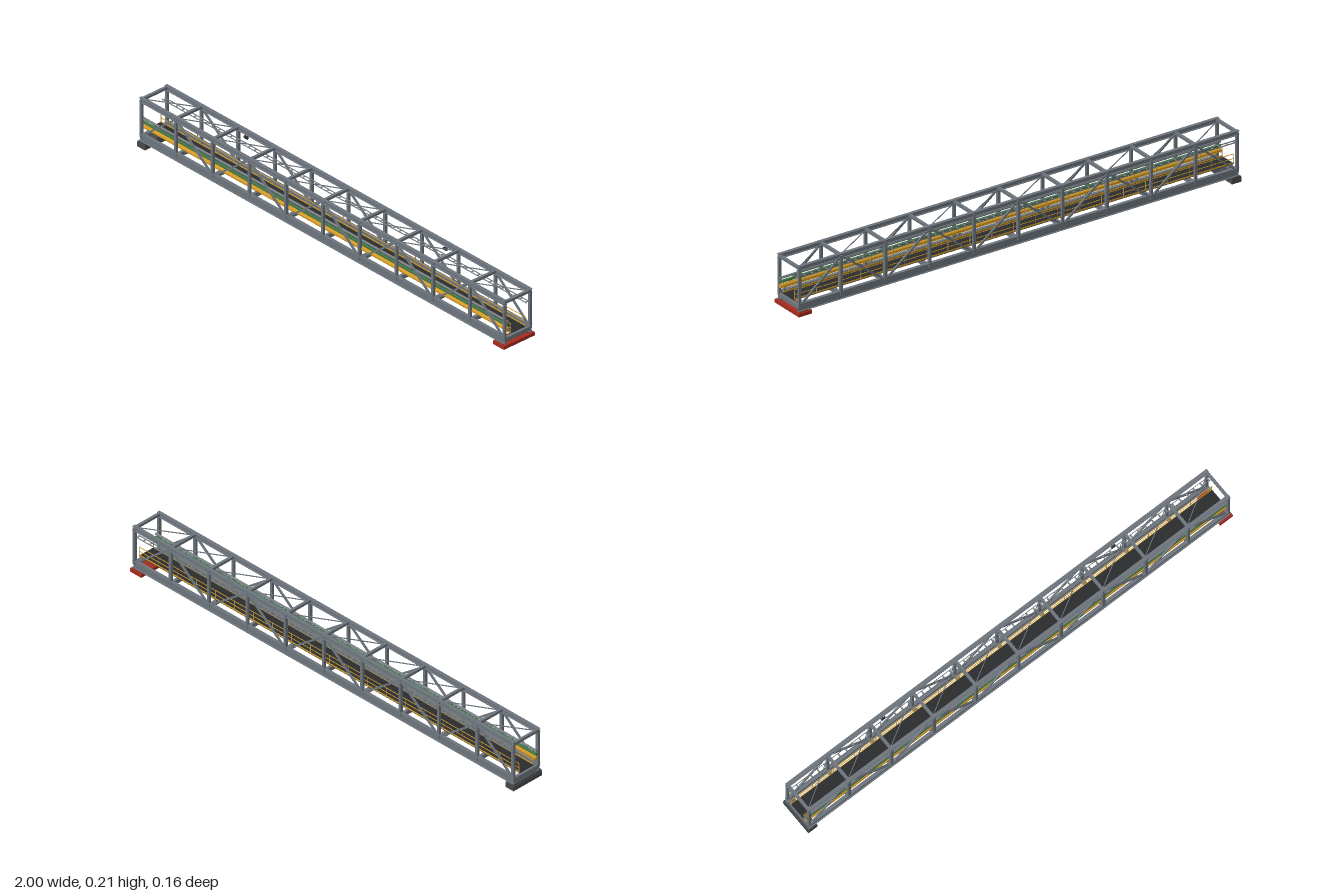
import * as THREE from 'three';

const mat = (name, color) => Object.assign(new THREE.MeshStandardMaterial({ color }), { name });

export function createModel() {
  const steel = mat('steel grey', 0x6c747c);
  const dark = mat('dark bearing', 0x45484c);
  const red = mat('red bearing', 0xa52a1e);
  const deck = mat('deck black', 0x2a2b2d);
  const yellow = mat('pipe yellow', 0xd29a26);
  const green = mat('pipe green', 0x3f7347);
  const pipeGrey = mat('pipe grey', 0x777e82);
  const tan = mat('railing tan', 0xb59a62);

  const root = new THREE.Group();
  root.name = 'trussBridge';
  const group = (name) => {
    const g = new THREE.Group();
    g.name = name;
    root.add(g);
    return g;
  };
  const box = (parent, name, m, w, h, d, x, y, z) => {
    const b = new THREE.Mesh(new THREE.BoxGeometry(w, h, d), m);
    b.name = name;
    b.position.set(x, y, z);
    parent.add(b);
    return b;
  };
  // square bar between two points
  const bar = (parent, name, m, a, b, w, d = w) => {
    const p = new THREE.Vector3(...a), q = new THREE.Vector3(...b);
    const s = box(parent, name, m, w, d, p.distanceTo(q), 0, 0, 0);
    s.position.copy(p).add(q).multiplyScalar(0.5);
    s.lookAt(q);
    return s;
  };
  // I-section running along x
  const iBeam = (parent, name, y0, y1, z, width) => {
    const t = 0.002;
    box(parent, name + 'TopFlange', steel, 1.988, t, width, 0, y1 - t / 2, z);
    box(parent, name + 'BottomFlange', steel, 1.988, t, width, 0, y0 + t / 2, z);
    box(parent, name + 'Web', steel, 1.988, y1 - y0 - 2 * t, 0.003, 0, (y0 + y1) / 2, z);
  };

  const Z = 0.064;
  const panels = 10;
  const nodeX = (i) => THREE.MathUtils.clamp(-1 + i * 0.2, -0.988, 0.988);

  // side trusses: chords, posts and zigzag diagonals
  for (const s of [1, -1]) {
    const truss = group(s > 0 ? 'frontTruss' : 'backTruss');
    iBeam(truss, 'topChord', 0.192, 0.211, s * Z, 0.014);
    iBeam(truss, 'bottomChord', 0.025, 0.058, s * Z, 0.014);
    for (let i = 0; i <= panels; i++) {
      box(truss, 'post', steel, 0.011, 0.162, 0.011, nodeX(i), 0.121, s * Z);
    }
    for (let i = 0; i < panels; i++) {
      const up = i % 2 === 0;
      bar(truss, 'diagonal', steel, [nodeX(i), up ? 0.045 : 0.2, s * Z],
        [nodeX(i + 1), up ? 0.2 : 0.045, s * Z], 0.007);
    }
  }

  // cross beams at each panel point and thin roof bracing
  const cross = group('crossFraming');
  for (let i = 0; i <= panels; i++) {
    box(cross, 'topCrossBeam', steel, 0.011, 0.011, 2 * Z, nodeX(i), 0.202, 0);
    box(cross, 'floorBeam', steel, 0.013, 0.017, 2 * Z, nodeX(i), 0.042, 0);
    if (i < panels) {
      bar(cross, 'roofBrace', steel, [nodeX(i), 0.202, 0.058], [nodeX(i + 1), 0.202, -0.058], 0.003);
    }
  }

  // walkway deck with railings
  const walkway = group('walkway');
  box(walkway, 'deck', deck, 1.985, 0.003, 0.073, 0, 0.0605, 0);
  for (const z of [0.036, -0.036]) {
    for (const y of [0.082, 0.101]) box(walkway, 'handrail', yellow, 1.985, 0.002, 0.002, 0, y, z);
    box(walkway, 'toeBoard', yellow, 1.985, 0.006, 0.0012, 0, 0.064, z);
    for (let i = 0; i <= 20; i++) {
      box(walkway, 'railPost', tan, 0.002, 0.042, 0.002, -0.99 + i * 0.099, 0.081, z);
    }
  }

  // pipes along the front truss
  const pipes = group('pipes');
  for (const [name, m, y, r] of [['largePipe', yellow, 0.083, 0.008],
    ['mediumPipe', green, 0.101, 0.0058], ['smallPipe', pipeGrey, 0.1165, 0.0048]]) {
    const p = new THREE.Mesh(new THREE.CylinderGeometry(r, r, 1.988, 20), m);
    p.name = name;
    p.rotation.z = Math.PI / 2;
    p.position.set(0, y, 0.052);
    pipes.add(p);
  }

  // ladder-type cable tray along the back truss
  const tray = group('cableTray');
  for (const z of [-0.0425, -0.0575]) box(tray, 'trayRail', pipeGrey, 1.985, 0.004, 0.0015, 0, 0.158, z);
  for (let i = 0; i <= 60; i++) {
    box(tray, 'trayRung', pipeGrey, 0.006, 0.0015, 0.016, -0.985 + i * 1.97 / 60, 0.157, -0.05);
  }

  // tilted lamps under the back top chord
  const lamps = group('lamps');
  for (const x of [-0.545, 0.54]) {
    const l = box(lamps, 'lamp', deck, 0.018, 0.009, 0.009, x, 0.187, -0.053);
    l.rotation.x = 0.3;
  }

  // end bearings: dark fixed block and red sliding plate
  const bearings = group('bearings');
  box(bearings, 'fixedBearing', dark, 0.042, 0.02, 0.15, -0.979, 0.01, 0);
  box(bearings, 'fixedBearingCap', dark, 0.036, 0.006, 0.15, -0.979, 0.022, 0);
  box(bearings, 'slidingPlate', red, 0.06, 0.014, 0.156, 0.97, 0.015, 0);
  for (const z of [Z, -Z]) box(bearings, 'bearingPad', red, 0.036, 0.004, 0.016, 0.972, 0.0235, z);

  return root;
}
